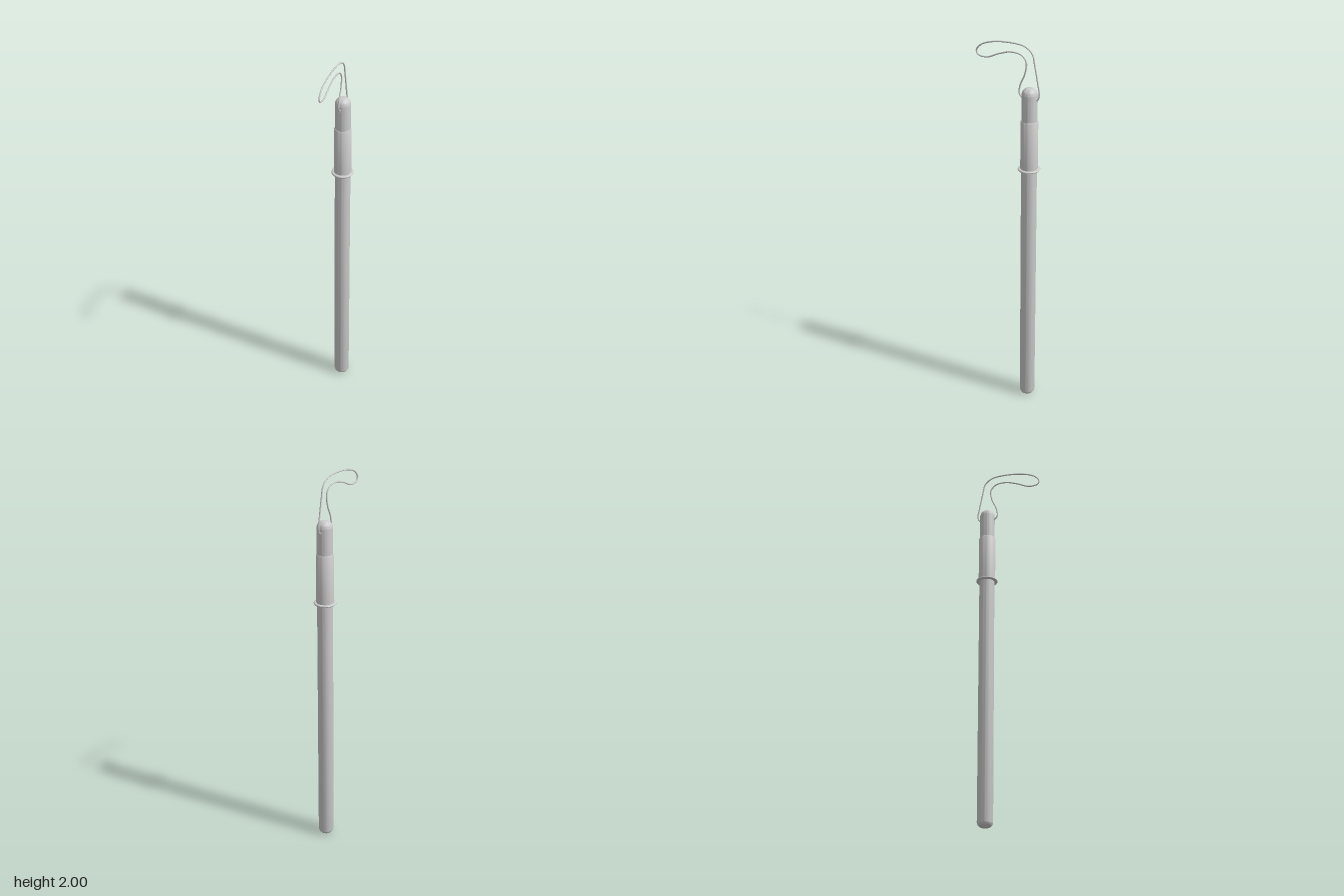
import * as THREE from 'three';
import { toCreasedNormals } from 'three/addons/utils/BufferGeometryUtils.js';

const AXIS_Z = -0.12;
const R = 0.04;
const material = new THREE.MeshStandardMaterial({ color: 0xcccccc, side: THREE.DoubleSide });

// Quarter-round profile points from angle a0 to a1 about (cx, cy)
function arc(cx, cy, rx, ry, a0, a1, n = 8) {
  return Array.from({ length: n + 1 }, (_, i) => {
    const a = a0 + (a1 - a0) * i / n;
    return [cx + rx * Math.cos(a), cy + ry * Math.sin(a)];
  });
}

// Turned part around the stick's axis
function turned(name, profile, sides = 40) {
  const points = profile.map(([r, y]) => new THREE.Vector2(Math.max(r, 0), y));
  const geometry = toCreasedNormals(new THREE.LatheGeometry(points, sides), 0.6);
  const mesh = new THREE.Mesh(geometry, material);
  mesh.name = name;
  mesh.position.z = AXIS_Z;
  return mesh;
}

export function createModel() {
  const group = new THREE.Group();
  group.name = 'stickWithWristLoop';

  // Long shaft with a rounded foot
  group.add(turned('shaft', [
    [0, 0],
    ...arc(R - 0.027, 0.027, 0.027, 0.027, -Math.PI / 2, 0),
    [R, 1.35],
  ]));

  // Thin collar between shaft and sleeve
  group.add(turned('collar', [
    [0.036, 1.345],
    ...arc(0.053, 1.35, 0.004, 0.005, -Math.PI / 2, Math.PI / 2, 6),
    [0.036, 1.355],
  ], 24));

  // Wider sleeve with small bevels
  group.add(turned('sleeve', [
    [0.036, 1.35], [0.044, 1.35], [0.044, 1.605], [0.041, 1.611], [0.036, 1.611],
  ]));

  // Domed end cap
  group.add(turned('cap', [
    [R, 1.6], [R, 1.745],
    ...arc(0.006, 1.745, R - 0.006, 0.037, 0, Math.PI / 2),
    [0, 1.782],
  ]));

  // Cord loop threaded through the cap, as [z, y]
  const path = [
    [-0.12, 1.727], [-0.08, 1.727], [-0.064, 1.745], [-0.069, 1.79], [-0.094, 1.85],
    [-0.1, 1.91], [-0.075, 1.941], [-0.017, 1.949], [0.048, 1.93], [0.115, 1.902],
    [0.163, 1.907], [0.173, 1.927], [0.148, 1.96], [0.085, 1.985], [-0.02, 1.996],
    [-0.094, 1.987], [-0.132, 1.957], [-0.148, 1.893], [-0.164, 1.81],
    [-0.173, 1.752], [-0.163, 1.727],
  ].map(([z, y]) => new THREE.Vector3(0, y, z));
  const curve = new THREE.CatmullRomCurve3(path, true);
  const cord = new THREE.Mesh(new THREE.TubeGeometry(curve, 160, 0.0038, 10, true), material);
  cord.name = 'wristLoop';
  group.add(cord);

  // Rims of the cord holes at front and back of the cap
  for (const side of [1, -1]) {
    const rim = new THREE.Mesh(new THREE.TorusGeometry(0.006, 0.0015, 8, 20), material);
    rim.name = side > 0 ? 'frontEyelet' : 'backEyelet';
    rim.position.set(0, 1.727, AXIS_Z + side * R);
    group.add(rim);
  }

  return group;
}
